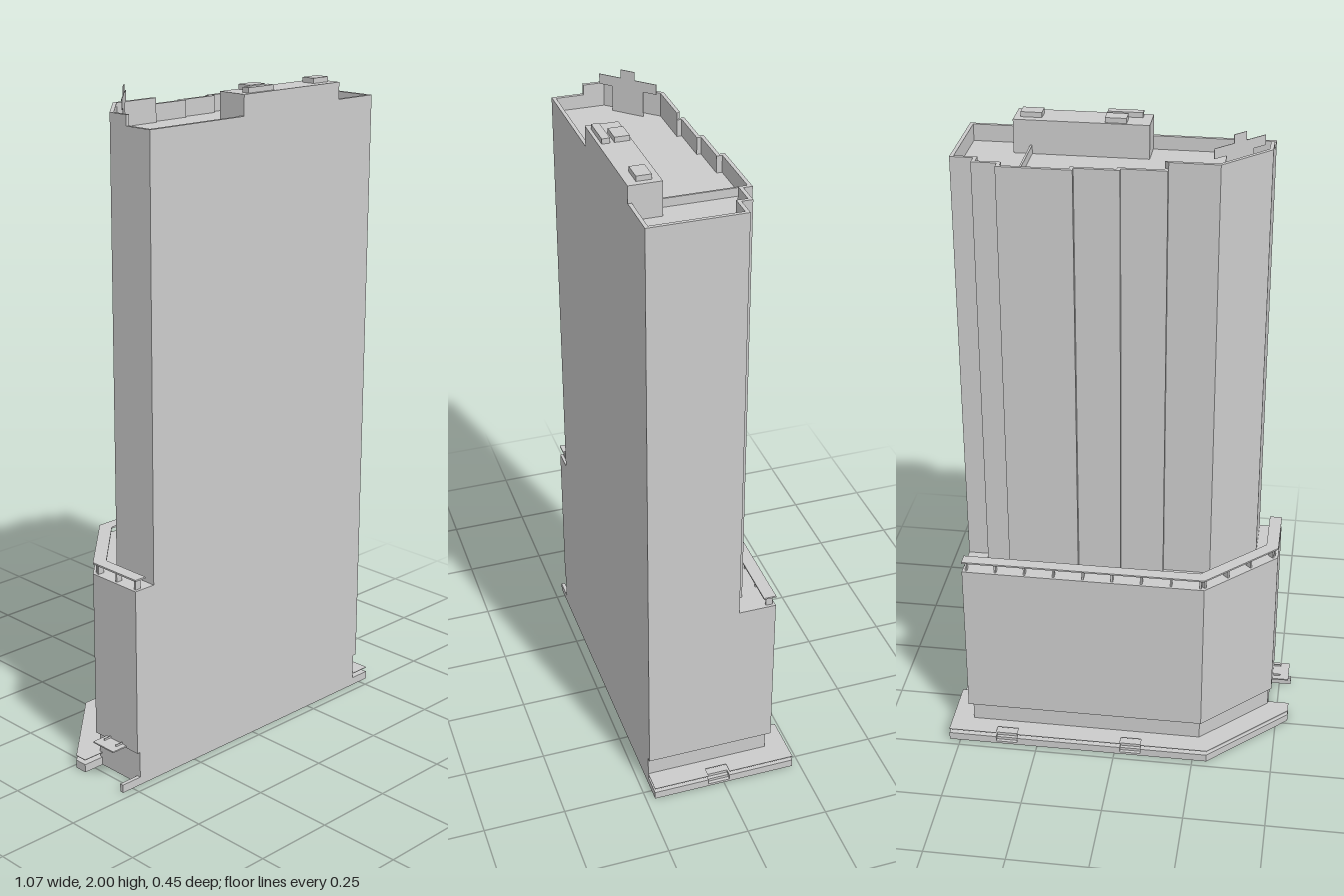
import * as THREE from 'three';

const material = new THREE.MeshStandardMaterial({ color: 0xcccccc, flatShading: true, side: THREE.DoubleSide });

// Prism over a plan outline of [x, z] points, from y0 to y1
function prism(name, points, y0, y1) {
  const shape = new THREE.Shape(points.map(([x, z]) => new THREE.Vector2(x, -z)));
  const geometry = new THREE.ExtrudeGeometry(shape, { depth: y1 - y0, bevelEnabled: false });
  geometry.rotateX(-Math.PI / 2).translate(0, y0, 0);
  const mesh = new THREE.Mesh(geometry, material);
  mesh.name = name;
  return mesh;
}

// Box given by its limits
function block(name, x0, x1, y0, y1, z0, z1) {
  return prism(name, [[x0, z0], [x1, z0], [x1, z1], [x0, z1]], y0, y1);
}

// Inward normal of the edge from a to b
function normal(a, b) {
  const dx = b[0] - a[0], dz = b[1] - a[1], l = Math.hypot(dx, dz);
  return [-dz / l, dx / l];
}

// Path moved inward by t, with mitred corners
function inset(path, t, closed) {
  const n = path.length;
  return path.map((p, i) => {
    let a = i > 0 || closed ? normal(path[(i + n - 1) % n], p) : null;
    let b = i < n - 1 || closed ? normal(p, path[(i + 1) % n]) : null;
    a = a || b;
    b = b || a;
    const k = t / (1 + a[0] * b[0] + a[1] * b[1]);
    return [p[0] + k * (a[0] + b[0]), p[1] + k * (a[1] + b[1])];
  });
}

// Mitred wall along a path; top(i) gives the height of each stretch
function wall(name, path, t, y0, top, closed = false) {
  const group = new THREE.Group();
  group.name = name;
  const inner = inset(path, t, closed);
  const count = closed ? path.length : path.length - 1;
  for (let i = 0; i < count; i++) {
    const j = (i + 1) % path.length;
    group.add(prism(name + 'Section', [path[i], path[j], inner[j], inner[i]], y0, top(i)));
  }
  return group;
}

export function createModel() {
  const model = new THREE.Group();
  const F = 0.223;

  // Main volumes, flush on the front
  const podium = [[-0.48, F], [-0.48, 0.04], [-0.27, -0.172], [0.48, -0.172], [0.48, F]];
  const base = [[-0.47, F], [-0.47, 0.045], [-0.265, -0.159], [0.467, -0.159], [0.467, F]];
  const tower = [
    [-0.41, F], [-0.41, 0.13], [-0.41, 0.064], [-0.277, -0.074], [-0.134, -0.074], [-0.134, -0.088],
    [-0.004, -0.088], [-0.004, -0.1], [0.125, -0.1], [0.125, -0.116], [0.34, -0.116],
    [0.34, -0.09], [0.413, -0.09], [0.413, -0.058], [0.48, -0.058], [0.48, F], [0.335, F], [-0.057, F],
  ];
  model.add(prism('groundFloor', base, 0, 0.105));
  model.add(prism('podium', podium, 0.105, 0.615));
  model.add(prism('tower', tower, 0.615, 1.87));

  // Parapet: taller round the cut corner, lower on the front left
  const height = (i) => (i >= 1 && i <= 3 ? 1.94 : i === 0 || i === 17 ? 1.91 : 1.92);
  model.add(wall('parapet', tower, 0.011, 1.87, height, true));

  // Roof structures
  model.add(block('penthouse', -0.057, 0.335, 1.87, 1.97, 0.128, F));
  model.add(block('roofUnit', 0.01, 0.072, 1.97, 1.985, 0.135, 0.178));
  model.add(block('roofUnit', -0.03, 0.072, 1.97, 1.985, 0.19, 0.213));
  model.add(block('roofUnit', 0.255, 0.317, 1.97, 1.985, 0.152, 0.195));
  model.add(block('roofDivider', 0.281, 0.287, 1.87, 1.895, -0.106, 0.128));

  // Stepped upright panel behind the cut corner
  const crest = new THREE.Group();
  crest.name = 'roofPanel';
  for (const [w, y0, y1] of [[0.1, 1.87, 1.945], [0.184, 1.945, 1.975], [0.045, 1.975, 2]]) {
    crest.add(block('panelStep', -w / 2, w / 2, y0, y1, -0.001, 0.001));
  }
  crest.position.set(-0.32, 0, 0.02);
  crest.rotation.y = Math.PI / 4;
  model.add(crest);

  // Terrace canopy strip on slim fins
  const rail = podium.slice(0, 4);
  model.add(wall('terraceCanopy', rail, 0.038, 0.645, () => 0.65));
  for (let i = 0; i < 3; i++) {
    const a = rail[i], b = rail[i + 1], n = normal(a, b);
    const length = Math.hypot(b[0] - a[0], b[1] - a[1]);
    const steps = Math.round(length / 0.095);
    for (let k = 0; k <= steps; k++) {
      const s = (0.012 + (length - 0.024) * k / steps) / length;
      const fin = block('terraceFin', -0.003, 0.003, 0.615, 0.645, -0.01, 0.01);
      fin.position.x = a[0] + (b[0] - a[0]) * s + n[0] * 0.018;
      fin.position.z = a[1] + (b[1] - a[1]) * s + n[1] * 0.018;
      fin.rotation.y = Math.atan2(n[0], n[1]);
      model.add(fin);
    }
  }

  // Pavement outline with notches for the steps
  const pavement = [
    [-0.47, 0.055], [-0.538, 0.055], [-0.538, 0.015], [-0.295, -0.226],
    [-0.083, -0.226], [-0.083, -0.194], [-0.018, -0.194], [-0.018, -0.226],
    [0.315, -0.226], [0.315, -0.194], [0.382, -0.194], [0.382, -0.226],
    [0.535, -0.226], [0.535, -0.018], [0.502, -0.018], [0.502, 0.05], [0.535, 0.05],
    [0.535, F], [0.46, F], [0.46, -0.15], [-0.262, -0.15], [-0.465, 0.047],
  ];
  model.add(prism('pavement', pavement, 0.02, 0.025));
  model.add(prism('pavementCover', pavement, 0.039, 0.041));
  const kerb = [[-0.47, 0.055], [-0.538, 0.055], [-0.538, 0.015], [-0.295, -0.226], [0.535, -0.226], [0.535, F], [0.46, F]];
  model.add(wall('kerb', kerb, 0.011, 0, (i) => (i === 3 || i === 4 ? 0.008 : 0.025)));
  // Kerb faces between the notches
  for (const [x0, x1] of [[-0.295, -0.083], [-0.018, 0.315], [0.382, 0.535]]) {
    model.add(block('backKerb', x0, x1, 0.008, 0.025, -0.226, -0.215));
  }
  for (const [z0, z1] of [[-0.226, -0.018], [0.05, F]]) {
    model.add(block('sideKerb', 0.524, 0.535, 0.008, 0.025, z0, z1));
  }

  // Three treads in each notch
  for (let k = 0; k < 3; k++) {
    const y = 0.008 + 0.009 * k, d = 0.011 * k;
    for (const [x0, x1] of [[-0.083, -0.018], [0.315, 0.382]]) {
      model.add(block('step', x0, x1, 0, y, -0.226 + d, -0.215 + d));
    }
    model.add(block('step', 0.524 - d, 0.535 - d, 0, y, -0.018, 0.05));
  }

  // Side entrance: kerb strip, canopy and its brackets
  model.add(block('entranceKerb', -0.538, -0.47, 0, 0.025, 0.211, F));
  model.add(block('entranceCanopy', -0.532, -0.47, 0.108, 0.112, 0.087, 0.175));
  for (const z of [0.105, 0.157]) {
    model.add(block('canopyBracket', -0.505, -0.478, 0.112, 0.118, z - 0.001, z + 0.001));
  }
  return model;
}
